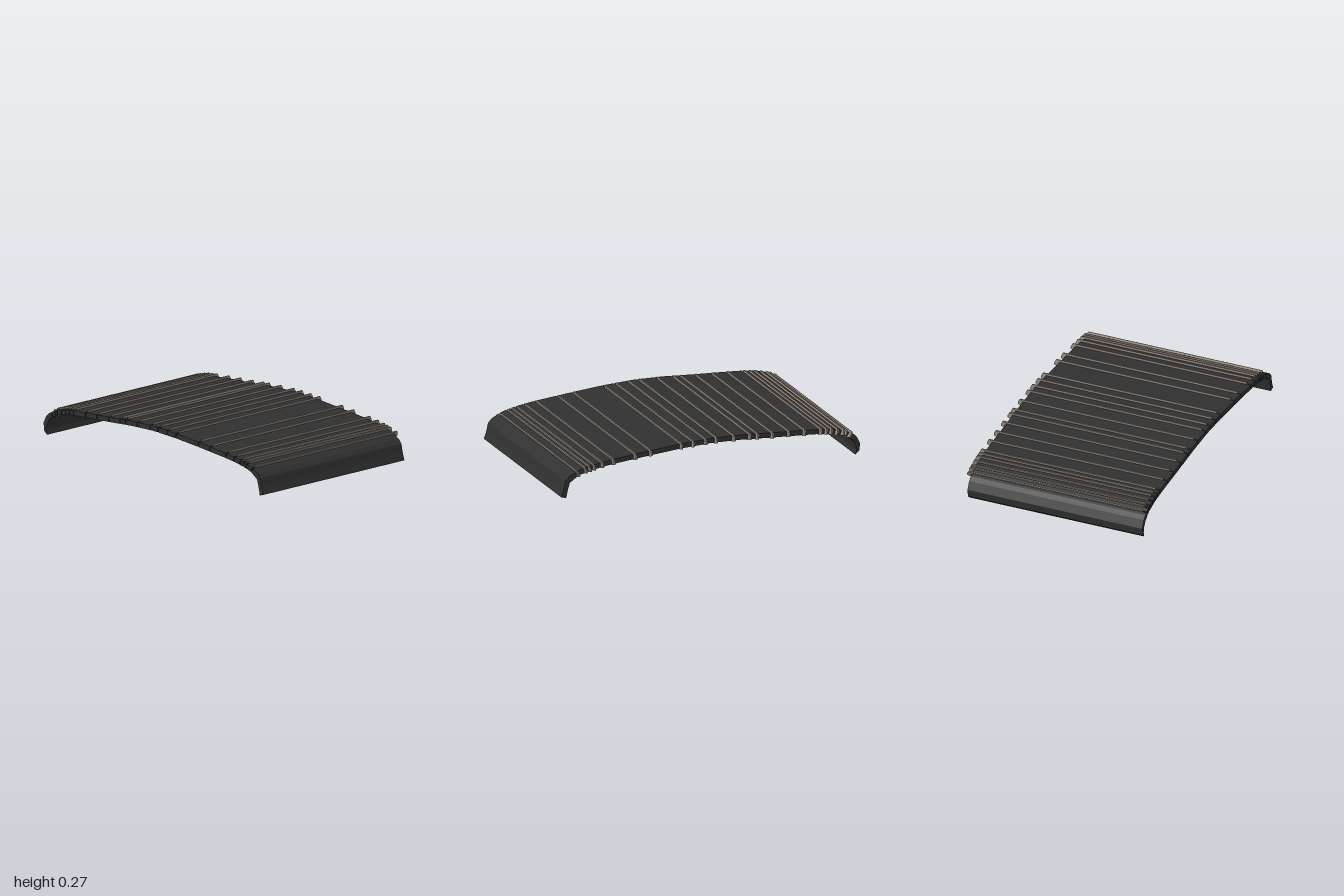
import * as THREE from 'three';

const FRONT = 0.6, BACK = -0.565, THICK = 0.031, GAP = 0.007;

// Top line of the arched shell, as [x, y]
const CROWN = [
  [-0.95, 0.14], [-0.9, 0.166], [-0.85, 0.181], [-0.8, 0.192], [-0.73, 0.201], [-0.62, 0.21],
  [-0.41, 0.225], [-0.2, 0.242], [0, 0.25], [0.2, 0.244], [0.41, 0.23], [0.51, 0.222],
  [0.66, 0.21], [0.73, 0.202], [0.79, 0.193], [0.85, 0.181], [0.9, 0.165], [0.95, 0.138],
];

// Where the thin ribs separate the planks
const RIBS = [
  -0.93, -0.9, -0.88, -0.84, -0.8, -0.767, -0.73, -0.62, -0.515, -0.405, -0.305, -0.255,
  -0.147, -0.03, 0.042, 0.125, 0.205, 0.41, 0.513, 0.66, 0.735, 0.79, 0.82, 0.848, 0.9,
];

// Side legs, outline from the crown's outer edge round to its inner edge
const LEFT_LEG = [[-0.975, 0.119], [-1, 0.07], [-0.994, 0.022], [-0.968, 0], [-0.976, 0.03],
  [-0.968, 0.068], [-0.948, 0.1]];
const RIGHT_LEG = [[0.972, 0.113], [0.984, 0.06], [1, 0.014], [0.968, 0.004], [0.955, 0.06],
  [0.943, 0.1]];

function topY(x) {
  let i = 1;
  while (i < CROWN.length - 1 && CROWN[i][0] < x) i++;
  const [x0, y0] = CROWN[i - 1], [x1, y1] = CROWN[i];
  return y0 + (y1 - y0) * (x - x0) / (x1 - x0);
}

function tilt(x) {
  return Math.atan2(topY(x + 0.02) - topY(x - 0.02), 0.04);
}

function below(x) {
  const a = tilt(x);
  return [x + Math.sin(a) * THICK, topY(x) - Math.cos(a) * THICK];
}

// The whole roof rises very slightly towards the back
function slope(geometry) {
  const p = geometry.attributes.position;
  for (let i = 0; i < p.count; i++) p.setY(i, p.getY(i) + (FRONT - p.getZ(i)) * 0.006);
  geometry.computeVertexNormals();
  return geometry;
}

function extrudeOutline(points, depth) {
  const shape = new THREE.Shape(points.map(([x, y]) => new THREE.Vector2(x, y)));
  return new THREE.ExtrudeGeometry(shape, { depth, bevelEnabled: false });
}

// One curved plank between two ribs; the outermost planks carry the legs
function plankGeometry(a, b, first, last) {
  const xs = [a, ...CROWN.map(p => p[0]).filter(x => x > a + 0.002 && x < b - 0.002), b];
  const outer = xs.map(x => [x, topY(x)]);
  let inner = xs.map(below).reverse();
  if (first) inner = inner.slice(0, 1).concat([...LEFT_LEG].reverse());
  if (last) inner = [...RIGHT_LEG, inner[inner.length - 1]];
  const geometry = extrudeOutline([...outer, ...inner], FRONT - BACK);
  return slope(geometry.translate(0, 0, BACK));
}

// Upright rib blade: side outline in z and height, swung to run front to back
function ribGeometry(x) {
  const width = 0.0085;
  const outline = [[-0.573, -0.036], [-0.573, 0.012], [0.588, 0.012], [0.6, -0.012],
    [0.6, -0.024], [0.565, -0.036]];
  const geometry = extrudeOutline(outline, width);
  geometry.translate(0, 0, -width / 2);
  geometry.rotateY(Math.PI / 2);
  geometry.rotateZ(tilt(x));
  geometry.translate(x, topY(x), 0);
  return slope(geometry);
}

export function createModel() {
  const model = new THREE.Group();
  model.name = 'archedRoof';
  const dark = new THREE.MeshStandardMaterial({ color: 0x303030, side: THREE.DoubleSide });
  const taupe = new THREE.MeshStandardMaterial({ color: 0x94887e, side: THREE.DoubleSide });

  // Dark planks with side legs
  const planks = new THREE.Group();
  planks.name = 'planks';
  const n = RIBS.length;
  for (let i = 0; i <= n; i++) {
    const a = i === 0 ? -0.95 : RIBS[i - 1] + GAP / 2;
    const b = i === n ? 0.95 : RIBS[i] - GAP / 2;
    const plank = new THREE.Mesh(plankGeometry(a, b, i === 0, i === n), dark);
    plank.name = i === 0 ? 'rightLegPlank' : i === n ? 'leftLegPlank' : 'plank';
    planks.add(plank);
  }
  model.add(planks);

  // Ribs between the planks, overhanging at the back
  const ribs = new THREE.Group();
  ribs.name = 'ribs';
  for (const x of RIBS) {
    const rib = new THREE.Mesh(ribGeometry(x), taupe);
    rib.name = 'rib';
    ribs.add(rib);
  }
  model.add(ribs);

  return model;
}
